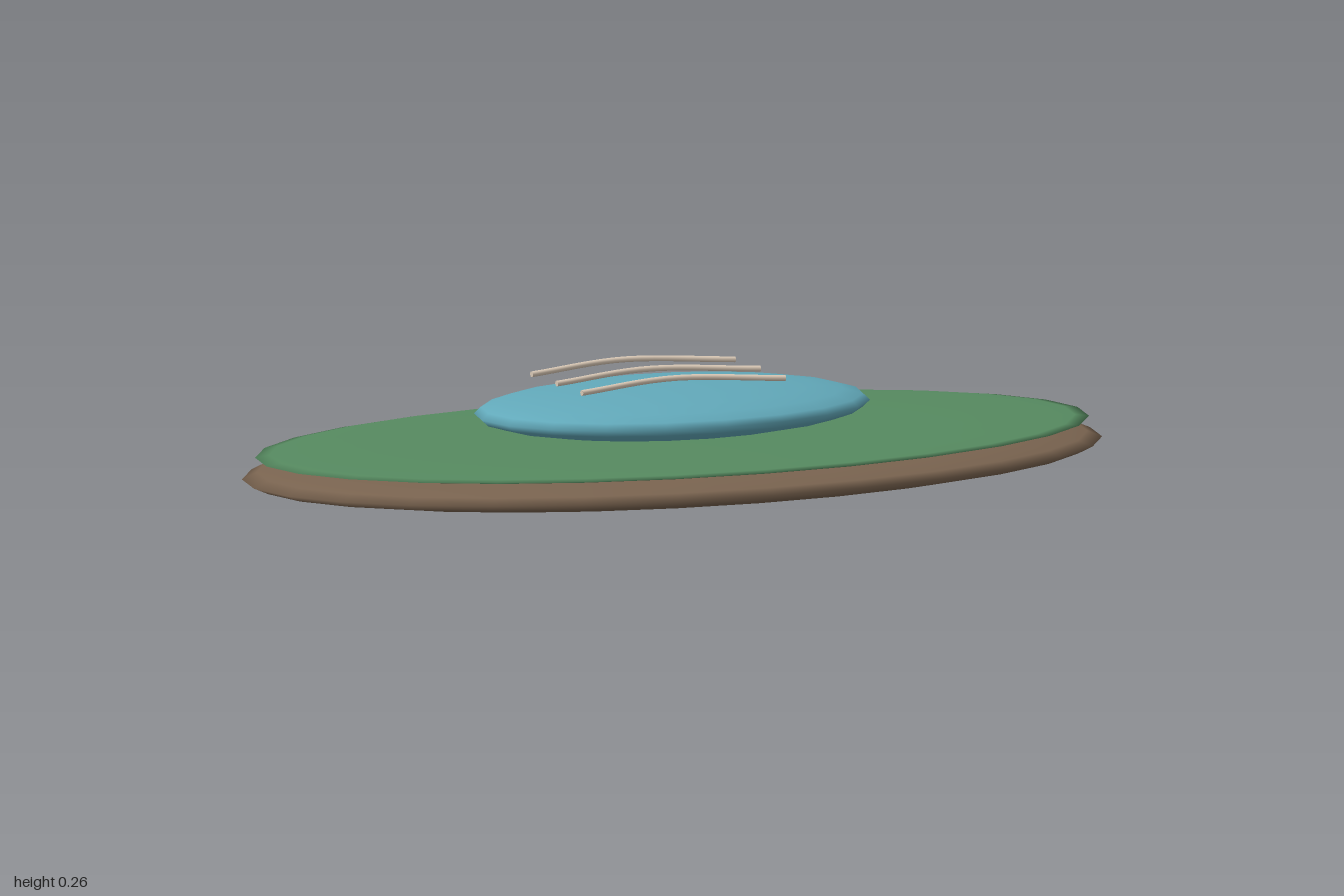
import * as THREE from 'three';

export function createModel() {
  const group = new THREE.Group();
  const material = (name, color, side = THREE.FrontSide) => {
    const m = new THREE.MeshStandardMaterial({ color, side });
    m.name = name;
    return m;
  };
  const earth = material('earth brown', 0x7a6450);
  const grass = material('grass green', 0x568a60);
  const water = material('water blue', 0x62a9ba);
  const foam = material('ripple cream', 0xdccbb8, THREE.DoubleSide);

  // Squashed spheres stacked as ground, grass and pond
  const disc = (name, mat, y, rx, ry, rz, segments, rings) => {
    const geometry = new THREE.SphereGeometry(1, segments, rings);
    geometry.scale(rx, ry, rz);
    const mesh = new THREE.Mesh(geometry, mat);
    mesh.name = name;
    mesh.position.y = y;
    group.add(mesh);
  };
  disc('groundBase', earth, 0.058, 1, 0.056, 0.545, 28, 12);
  disc('grassLayer', grass, 0.105, 0.97, 0.017, 0.523, 28, 12);
  disc('pondWater', water, 0.172, 0.455, 0.055, 0.298, 20, 12);

  // Three arched ripples hovering over the water
  const arc = new THREE.CatmullRomCurve3([
    new THREE.Vector3(-0.275, 0.241, 0),
    new THREE.Vector3(-0.04, 0.253, -0.033),
    new THREE.Vector3(0.212, 0.241, 0),
  ]);
  const rippleGeometry = new THREE.TubeGeometry(arc, 16, 0.0065, 8);
  const capGeometry = new THREE.CircleGeometry(0.0065, 8);
  [0.133, -0.002, -0.137].forEach((z) => {
    const ripple = new THREE.Group();
    ripple.name = 'ripple';
    ripple.position.z = z;
    const body = new THREE.Mesh(rippleGeometry, foam);
    body.name = 'rippleLine';
    ripple.add(body);
    for (const t of [0, 1]) {
      const cap = new THREE.Mesh(capGeometry, foam);
      cap.name = 'rippleEnd';
      const dir = arc.getTangent(t).multiplyScalar(t ? 1 : -1);
      cap.quaternion.setFromUnitVectors(new THREE.Vector3(0, 0, 1), dir);
      cap.position.copy(arc.getPoint(t));
      ripple.add(cap);
    }
    group.add(ripple);
  });
  return group;
}
